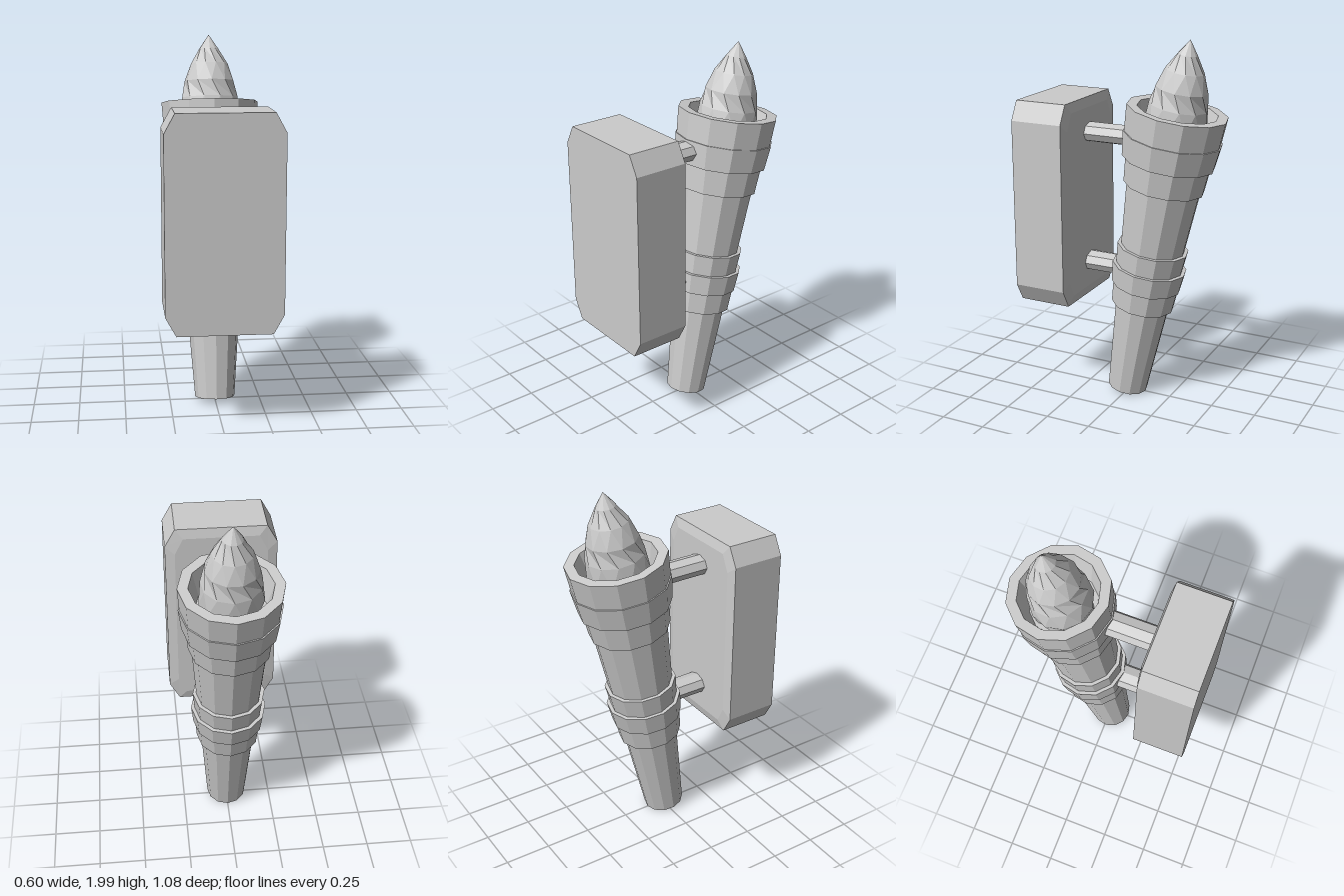
import * as THREE from 'three';

const SIDES = 12;

function createMesh(name, geometry) {
  const material = new THREE.MeshStandardMaterial({ color: 0xcccccc, flatShading: true });
  const mesh = new THREE.Mesh(geometry, material);
  mesh.name = name;
  return mesh;
}

// Turned part from [radius, height] pairs
function turned(name, points, sides = SIDES) {
  return createMesh(name, new THREE.LatheGeometry(points.map(([r, h]) => new THREE.Vector2(r, h)), sides));
}

// Chamfered octagonal plate, its rear face slightly inset
function createPlate() {
  const w = 0.3, h = 0.557, cx = 0.055, cy = 0.1;
  const outline = [
    [w, cy - h], [w, h - cy], [w - cx, h], [cx - w, h],
    [-w, h - cy], [-w, cy - h], [cx - w, -h], [w - cx, -h],
  ];
  const shape = new THREE.Shape(outline.map(([x, y]) => new THREE.Vector2(x, y)));
  const geometry = new THREE.ExtrudeGeometry(shape, { depth: 2, steps: 2, bevelEnabled: false });
  const layers = [0.237, 0.25, 0.54];
  const pos = geometry.attributes.position;
  for (let i = 0; i < pos.count; i++) {
    const layer = Math.round(pos.getZ(i));
    if (layer === 0) {
      pos.setX(i, pos.getX(i) * (w - 0.052) / w);
      pos.setY(i, pos.getY(i) * (h - 0.052) / h);
    }
    pos.setZ(i, layers[layer]);
  }
  geometry.computeVertexNormals();
  const plate = createMesh('wallPlate', geometry);
  plate.position.y = 1.105;
  return plate;
}

// Flattened eight-sided rod joining the plate to the torch
function createRod(name, y, zEnd) {
  const length = 0.26 - zEnd;
  const geometry = new THREE.CylinderGeometry(1, 1, length, 8);
  geometry.rotateX(Math.PI / 2);
  geometry.scale(0.071, 0.054, 1);
  const rod = createMesh(name, geometry);
  rod.position.set(0, y, zEnd + length / 2);
  return rod;
}

// Faceted flame: each ring is turned half a step from the one below
function createFlame() {
  const flame = turned('flame', [
    [0, 1.44], [0.155, 1.45], [0.166, 1.55], [0.155, 1.66],
    [0.138, 1.75], [0.102, 1.845], [0.052, 1.93], [0, 2.005],
  ], 11);
  const pos = flame.geometry.attributes.position;
  const v = new THREE.Vector3();
  const up = new THREE.Vector3(0, 1, 0);
  for (let i = 0; i < pos.count; i++) {
    const ring = i % 8;
    v.fromBufferAttribute(pos, i).applyAxisAngle(up, (ring % 2) * Math.PI / 11);
    pos.setXYZ(i, v.x, v.y, v.z);
  }
  return flame;
}

export function createModel() {
  const model = new THREE.Group();
  model.name = 'wallTorch';

  model.add(createPlate());
  model.add(createRod('upperRod', 1.475, -0.04));
  model.add(createRod('lowerRod', 0.745, 0.03));

  // Torch leans away from the plate
  const torch = new THREE.Group();
  torch.name = 'torch';
  torch.position.set(0, 0.025, 0.01);
  torch.rotation.x = -THREE.MathUtils.degToRad(10);
  model.add(torch);

  torch.add(turned('shaft', [[0, 0], [0.11, 0], [0.2, 1.22], [0.215, 1.5], [0, 1.5]]));

  // Stepped bands: bottom height, bottom radius, top height, top radius
  const bands = [
    ['lowerBand', 0.523, 0.172, 0.645, 0.182],
    ['lowerMiddleBand', 0.643, 0.191, 0.755, 0.203],
    ['lowerTopBand', 0.753, 0.183, 0.867, 0.194],
    ['upperBand', 1.22, 0.217, 1.362, 0.229],
    ['upperMiddleBand', 1.36, 0.248, 1.492, 0.264],
  ];
  for (const [name, y0, r0, y1, r1] of bands) {
    torch.add(turned(name, [[0.1, y0], [r0, y0], [r1, y1], [0.1, y1]]));
  }

  // Open cup with a tapering inner wall
  torch.add(turned('cup', [[0.17, 1.49], [0.257, 1.49], [0.267, 1.635], [0.213, 1.635], [0.178, 1.5]]));
  torch.add(createFlame());

  return model;
}
